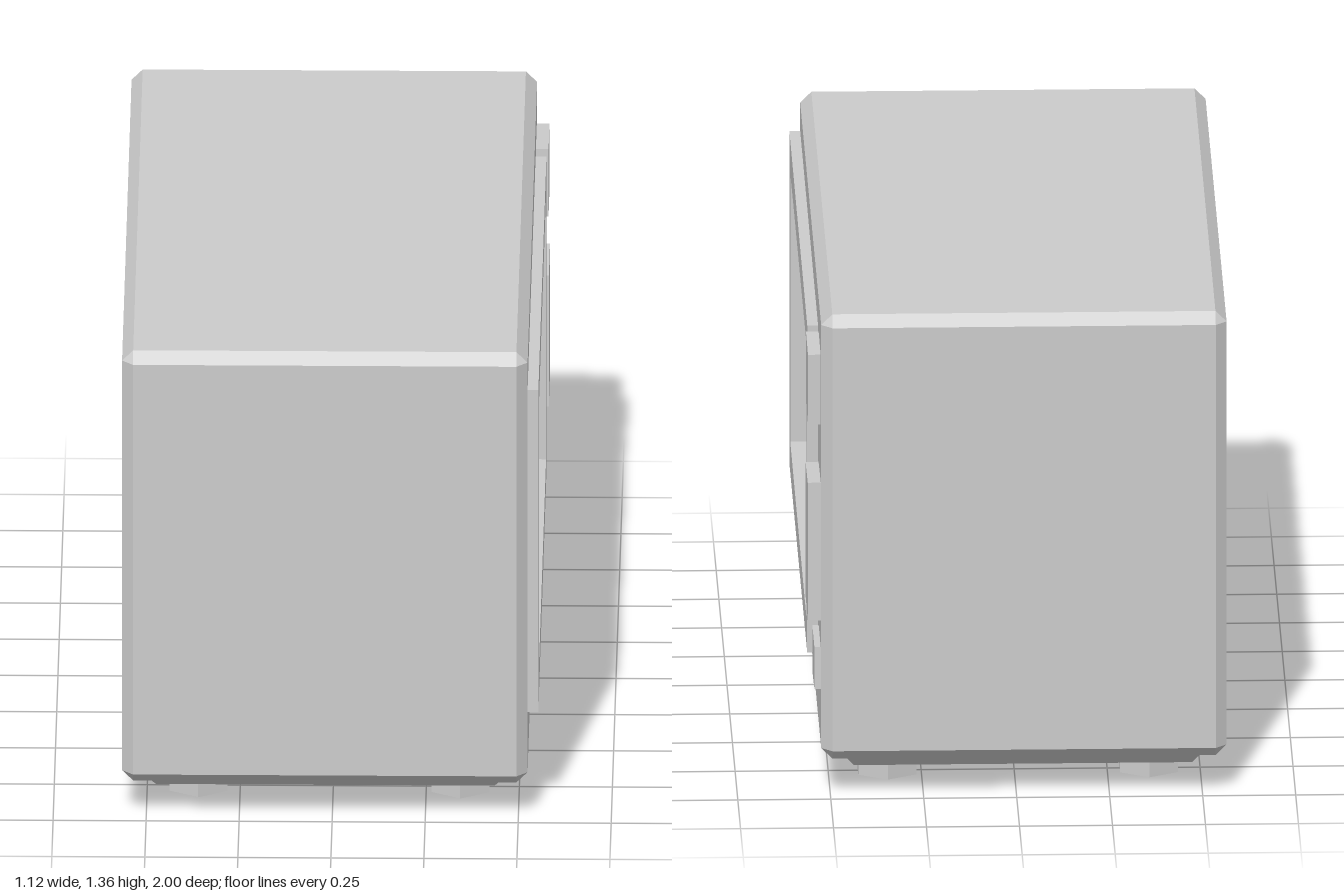
import * as THREE from 'three';

const grey = new THREE.MeshStandardMaterial({ color: 0xcccccc });
grey.name = 'light grey';

function add(parent, name, geometry) {
  const mesh = new THREE.Mesh(geometry, grey);
  mesh.name = name;
  parent.add(mesh);
  return mesh;
}

// Outline in [z, y] pairs, drawn on the side that faces +x
const outline = (points, Type = THREE.Shape) =>
  new Type(points.map(([z, y]) => new THREE.Vector2(-z, y)));

// Thick plate standing between x = from and x = to
function plate(shape, from, to) {
  return new THREE.ExtrudeGeometry(shape, { depth: to - from, bevelEnabled: false })
    .rotateY(Math.PI / 2).translate(from, 0, 0);
}

// Horizontal rectangle with cut corners; inset from the casing's full size
function ring(y, insetX, insetZ, cut) {
  const x0 = -0.565 + insetX, x1 = 0.525 - insetX, z = 1 - insetZ;
  return [
    [x1, -z + cut], [x1, z - cut], [x1 - cut, z], [x0 + cut, z],
    [x0, z - cut], [x0, -z + cut], [x0 + cut, -z], [x1 - cut, -z],
  ].map(([px, pz]) => new THREE.Vector3(px, y, pz));
}

// Bevelled casing from stacked rings, left open where the front panel goes
function casingGeometry() {
  const rings = [
    ring(0.055, 0.09, 0.125, 0), ring(0.087, 0.07, 0.09, 0), ring(0.105, 0.03, 0.03, 0),
    ring(0.135, 0, 0, 0.03), ring(1.33, 0, 0, 0.03), ring(1.36, 0.03, 0.03, 0),
  ];
  const pos = [];
  const tri = (a, b, c) => {
    if (new THREE.Triangle(a, b, c).getArea() < 1e-7) return;
    for (const p of [a, b, c]) pos.push(p.x, p.y, p.z);
  };
  for (let r = 0; r < rings.length - 1; r++) {
    for (let i = 0; i < 8; i++) {
      if (r === 3 && i === 0) continue;
      const j = (i + 1) % 8, low = rings[r], high = rings[r + 1];
      tri(low[i], high[i], high[j]);
      tri(low[i], high[j], low[j]);
    }
  }
  const bottom = rings[0], top = rings[rings.length - 1];
  for (let i = 1; i < 7; i++) {
    tri(bottom[0], bottom[i], bottom[i + 1]);
    tri(top[0], top[i + 1], top[i]);
  }
  const geometry = new THREE.BufferGeometry();
  geometry.setAttribute('position', new THREE.Float32BufferAttribute(pos, 3));
  geometry.computeVertexNormals();
  return geometry;
}

export function createModel() {
  const oven = new THREE.Group();
  oven.name = 'microwaveOven';

  add(oven, 'casing', casingGeometry());

  // Front panel, with an opening hidden behind the door frame
  const panel = outline([[0.97, 0.135], [-0.97, 0.135], [-0.97, 1.33], [0.97, 1.33]]);
  panel.holes.push(outline([[0.91, 0.36], [-0.62, 0.36], [-0.62, 1.18], [0.91, 1.18]], THREE.Path));
  add(oven, 'frontPanel', new THREE.ShapeGeometry(panel).rotateY(Math.PI / 2).translate(0.525, 0, 0));

  // Slightly uneven door frame around a recessed window
  const opening = [[0.89, 0.398], [0, 0.39], [-0.6, 0.385], [-0.6, 1.16], [0.64, 1.16], [0.89, 1.155]];
  const frame = outline([[0.97, 0.31], [-0.675, 0.31], [-0.68, 1.235], [-0.2, 1.24], [0.97, 1.25]]);
  frame.holes.push(outline(opening, THREE.Path));
  add(oven, 'doorFrame', plate(frame, 0.45, 0.554));
  add(oven, 'doorWindow',
    new THREE.ShapeGeometry(outline(opening)).rotateY(Math.PI / 2).translate(0.451, 0, 0));

  // Control blocks beside the door
  const controls = [
    ['display', 0.559, [[-0.725, 1.04], [-0.92, 1.033], [-0.92, 1.23], [-0.732, 1.235]]],
    ['keypad', 0.56, [[-0.722, 0.488], [-0.938, 0.485], [-0.934, 0.873], [-0.73, 0.866]]],
    ['openButton', 0.542, [[-0.74, 0.277], [-0.935, 0.29], [-0.93, 0.407], [-0.735, 0.407]]],
  ];
  for (const [name, front, points] of controls) add(oven, name, plate(outline(points), 0.52, front));

  // Six-sided feet
  for (const x of [-0.362, 0.342]) {
    for (const z of [-0.745, 0.745]) {
      const foot = new THREE.CylinderGeometry(0.09, 0.09, 0.06, 6).toNonIndexed();
      foot.computeVertexNormals();
      add(oven, 'foot', foot).position.set(x, 0.03, z);
    }
  }
  return oven;
}
